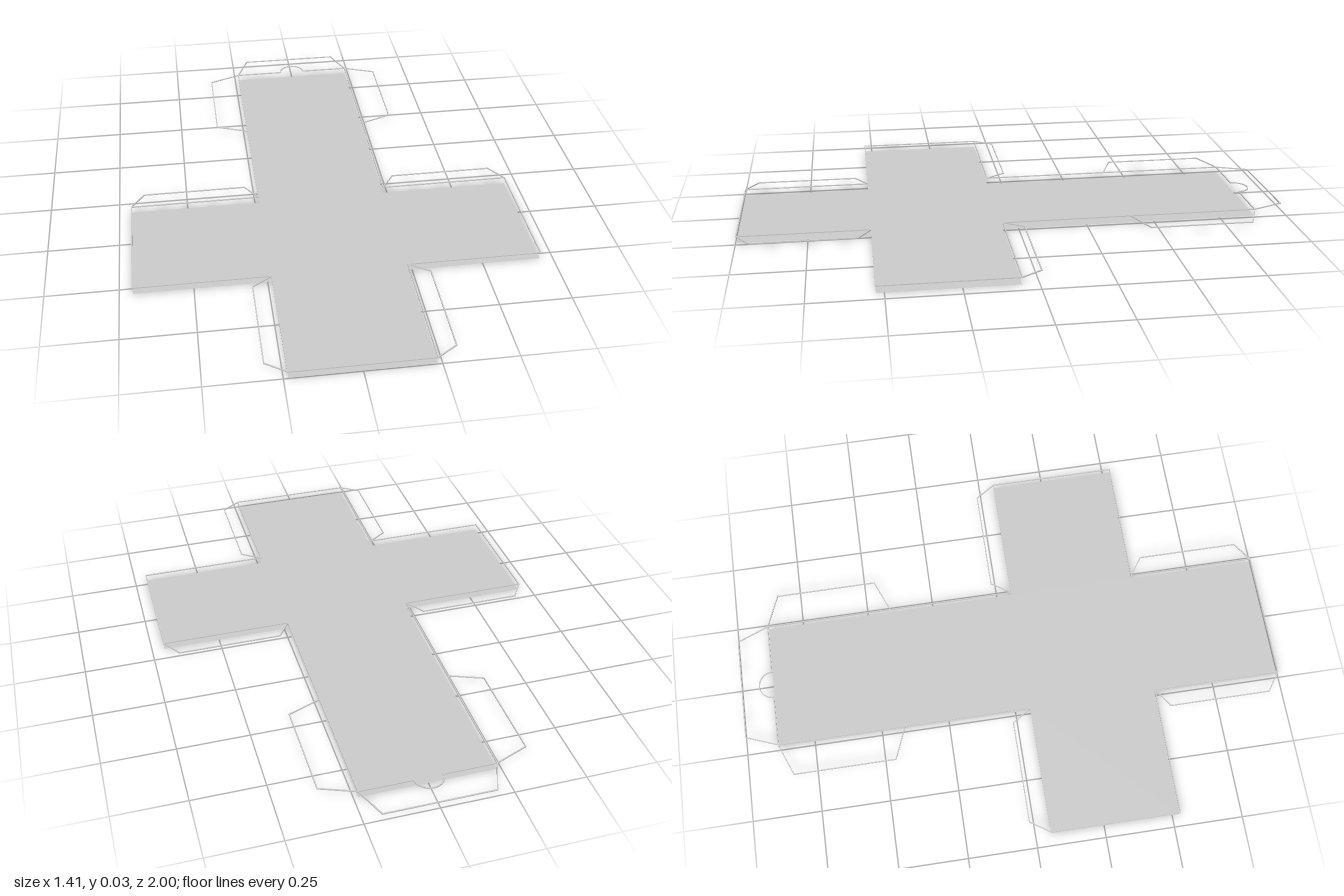
import * as THREE from 'three';

const S = 0.47;        // side of one square panel
const H = S / 2;
const W = 0.004;       // wire thickness
const Y = 0.025;       // height of the wire outline above the sheet
const Z = [0, 1, 2, 3, 4].map((i) => -0.883 + i * S); // panel rows, back to front

export function createModel() {
  const model = new THREE.Group();
  const material = new THREE.MeshStandardMaterial({ color: 0xcccccc, side: THREE.DoubleSide });

  // Thin square-section wire along a list of [x, z] points
  function wire(name, points) {
    const group = new THREE.Group();
    group.name = name;
    for (let i = 0; i + 1 < points.length; i++) {
      const [x0, z0] = points[i];
      const [x1, z1] = points[i + 1];
      const length = Math.hypot(x1 - x0, z1 - z0);
      const bar = new THREE.Mesh(new THREE.BoxGeometry(length + W * 0.5, W, W), material);
      bar.name = name + 'Segment';
      bar.position.set((x0 + x1) / 2, Y, (z0 + z1) / 2);
      bar.rotation.y = -Math.atan2(z1 - z0, x1 - x0);
      group.add(bar);
    }
    model.add(group);
  }
  const mirror = (points) => points.map(([x, z]) => [-x, z]);

  // Left half of the cross, from the back edge round to the front edge
  const half = [
    [H, Z[0]], [H, Z[2]], [H + S, Z[2]], [H + S, Z[3]], [H, Z[3]], [H, Z[4]],
  ];

  // Flat cross-shaped sheet lying on the ground
  const outline = [...half, ...mirror(half).reverse()];
  const shape = new THREE.Shape(outline.map(([x, z]) => new THREE.Vector2(x, -z)));
  const sheet = new THREE.Mesh(new THREE.ShapeGeometry(shape).rotateX(-Math.PI / 2), material);
  sheet.name = 'crossSheet';
  model.add(sheet);

  // Mirrored outlines: cross edge, back panel tab, arm tab, front panel tab
  const sides = {
    crossEdge: [[0.05, Z[0]], ...half],
    backSideTab: [[H, Z[0]], [0.355, Z[0] + 0.048], [0.355, Z[1] - 0.048], [H, Z[1]]],
    armTab: [[H, Z[2]], [0.283, -0.015], [0.658, -0.015], [H + S, Z[2]]],
    frontSideTab: [[H, Z[3]], [0.305, Z[3] + 0.048], [0.305, Z[4] - 0.048], [H, Z[4]]],
  };
  for (const [name, points] of Object.entries(sides)) {
    wire(name + 'Left', points);
    wire(name + 'Right', mirror(points));
  }

  // Front edge and the closing tab at the back
  wire('frontEdge', [[-H, Z[4]], [H, Z[4]]]);
  wire('closingTab', [[-H, Z[0]], [-0.19, -0.998], [0.19, -0.998], [H, Z[0]]]);

  // Half-round thumb notch in the back edge
  const notch = [];
  for (let i = 0; i <= 16; i++) {
    const a = (i / 16) * Math.PI;
    notch.push([0.05 * Math.cos(a), Z[0] - 0.05 * Math.sin(a)]);
  }
  wire('thumbNotch', notch);

  return model;
}
